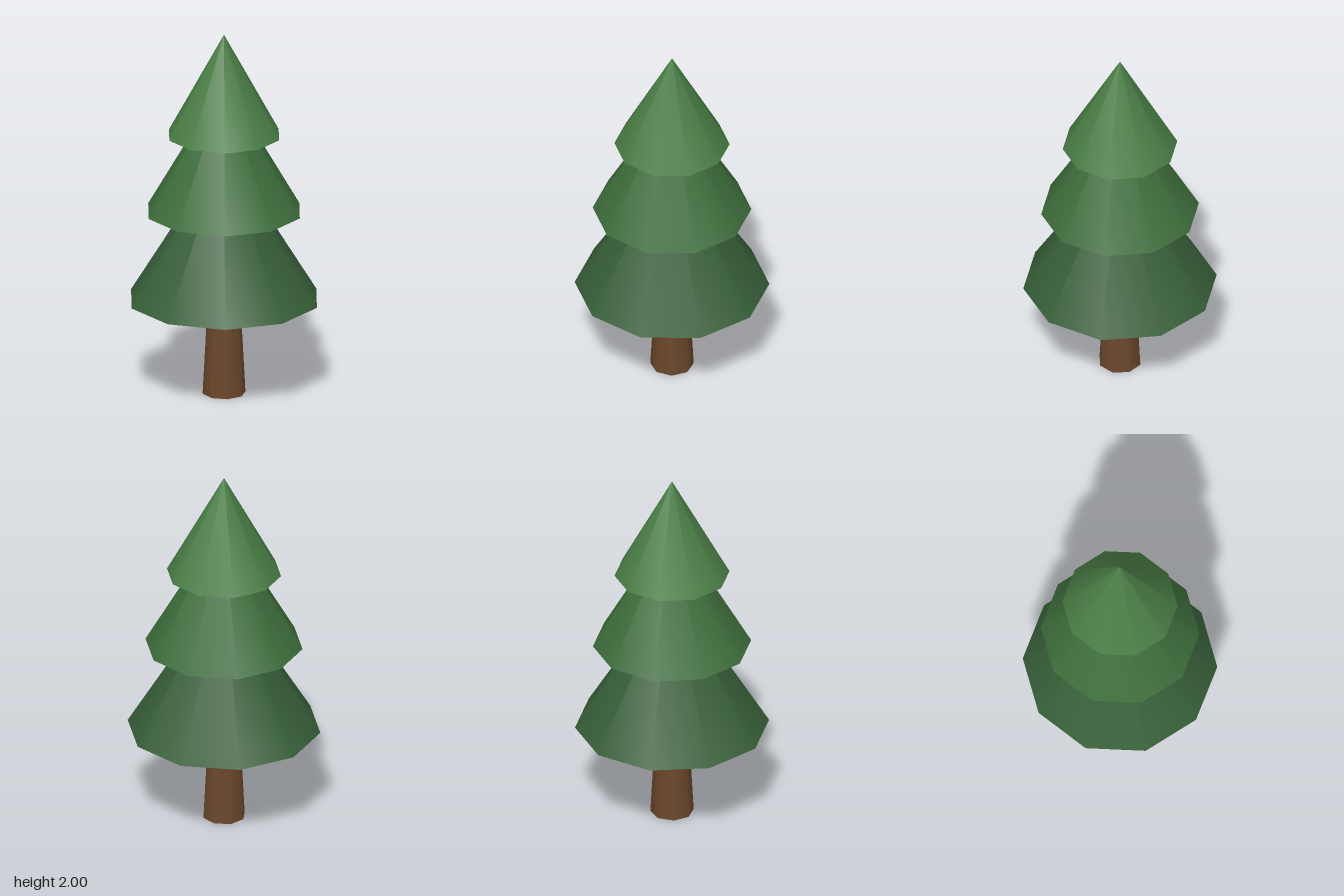
import * as THREE from 'three';

export function createModel() {
  const tree = new THREE.Group();
  tree.name = 'pineTree';

  const add = (name, geometry, color, baseY, height) => {
    const mesh = new THREE.Mesh(geometry, new THREE.MeshStandardMaterial({ color }));
    mesh.name = name;
    mesh.position.y = baseY + height / 2;
    tree.add(mesh);
  };

  // Tapered eight-sided trunk, its top tucked just inside the lowest tier
  add('trunk', new THREE.CylinderGeometry(0.085, 0.115, 0.56, 8), 0x6b472b, 0, 0.56);

  // Overlapping ten-sided foliage cones, lighter towards the top
  const tiers = [
    ['lowerFoliage', 0.515, 0.525, 0.84, 0x375f38],
    ['middleFoliage', 0.42, 1.015, 0.725, 0x3e6e3c],
    ['upperFoliage', 0.305, 1.44, 0.56, 0x4a7e46],
  ];
  for (const [name, radius, baseY, height, color] of tiers) {
    add(name, new THREE.ConeGeometry(radius, height, 10), color, baseY, height);
  }

  return tree;
}
